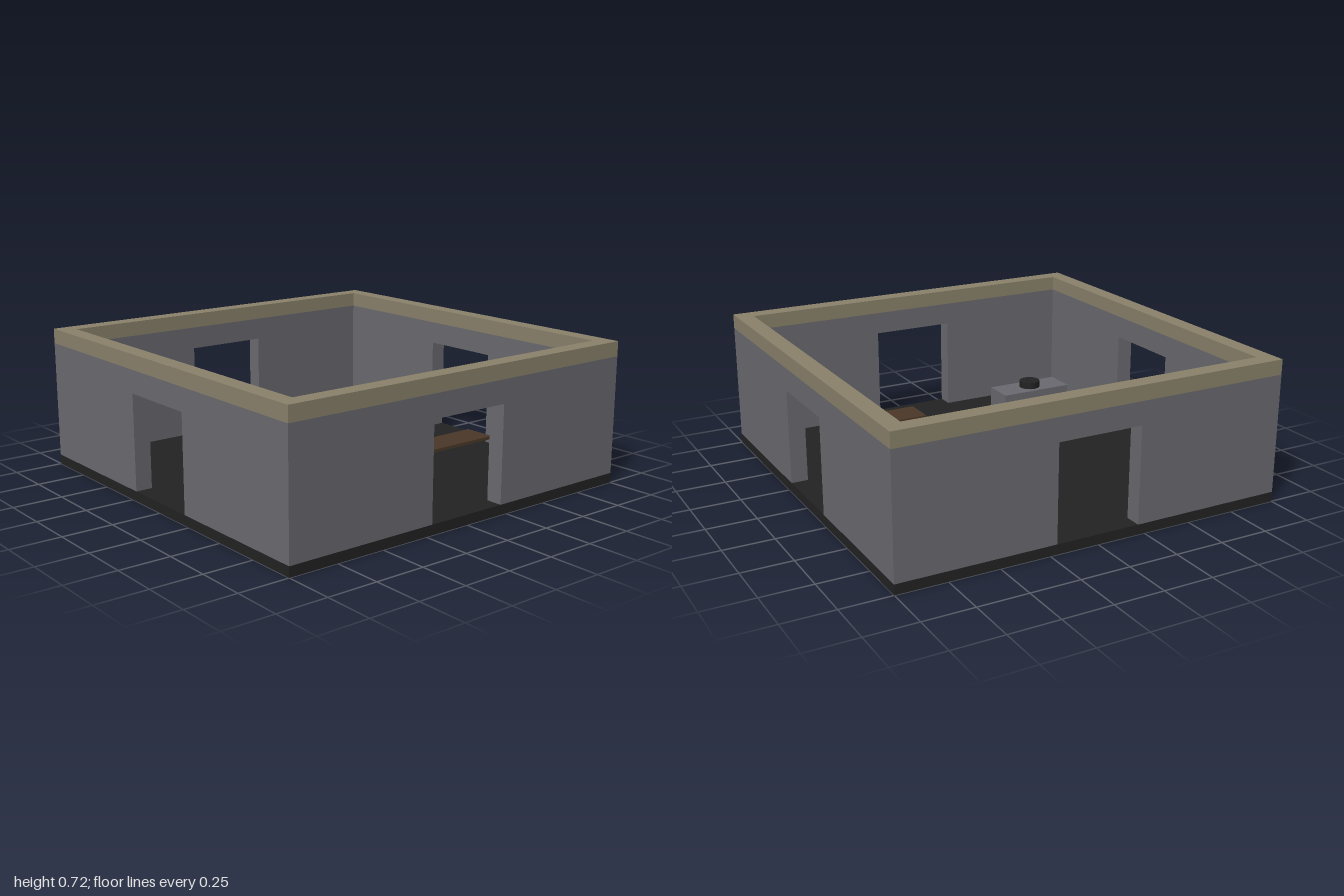
import * as THREE from 'three';

const FLOOR = 0.05, WALL_TOP = 0.645, TRIM_TOP = 0.72;
const THICK = 0.085, DOOR_HALF = 0.215, DOOR_TOP = 0.53;

const material = (name, color) => {
  const m = new THREE.MeshStandardMaterial({ color });
  m.name = name;
  return m;
};

export function createModel() {
  const stone = material('grey stone', 0x6a6a70);
  const trim = material('sandstone trim', 0x8a826b);
  const dark = material('dark floor', 0x222222);
  const wood = material('brown wood', 0x4b3828);
  const model = new THREE.Group();
  model.name = 'roofless room';

  const add = (parent, name, geometry, mat, x = 0, y = 0, z = 0) => {
    const mesh = new THREE.Mesh(geometry, mat);
    mesh.name = name;
    mesh.position.set(x, y, z);
    parent.add(mesh);
    return mesh;
  };

  // Floor slab
  add(model, 'floor', new THREE.BoxGeometry(2, FLOOR, 2), dark, 0, FLOOR / 2, 0);

  // Wall outline with a doorway cut up from the floor
  const wallGeometry = (half) => {
    const shape = new THREE.Shape([
      [-half, FLOOR], [-DOOR_HALF, FLOOR], [-DOOR_HALF, DOOR_TOP], [DOOR_HALF, DOOR_TOP],
      [DOOR_HALF, FLOOR], [half, FLOOR], [half, WALL_TOP], [-half, WALL_TOP],
    ].map(([x, y]) => new THREE.Vector2(x, y)));
    return new THREE.ExtrudeGeometry(shape, { depth: THICK, bevelEnabled: false });
  };

  // Four walls, each with its trim band; the side walls fit between the front and back
  ['front', 'left', 'back', 'right'].forEach((side, i) => {
    const half = i % 2 ? 1 - THICK : 1;
    const group = new THREE.Group();
    group.name = side + 'Wall';
    group.rotation.y = i * Math.PI / 2;
    add(group, side + 'WallPanel', wallGeometry(half), stone, 0, 0, 1 - THICK);
    add(group, side + 'Trim', new THREE.BoxGeometry(half * 2, TRIM_TOP - WALL_TOP, THICK),
      trim, 0, (WALL_TOP + TRIM_TOP) / 2, 1 - THICK / 2);
    model.add(group);
  });

  // Row of ten-sided barrels
  for (let i = 0; i < 3; i++) {
    const barrel = new THREE.CylinderGeometry(0.083, 0.083, 0.1, 10).toNonIndexed();
    barrel.computeVertexNormals();
    add(model, 'barrel' + (i + 1), barrel, wood, 0.234 + i * 0.166, FLOOR + 0.05, -0.5);
  }

  // Plank table top
  add(model, 'tableTop', new THREE.BoxGeometry(0.43, 0.016, 0.166), wood, 0.397, 0.202, 0.465);

  // Stone hearth with a dark round plate
  add(model, 'hearth', new THREE.BoxGeometry(0.4, 0.165, 0.166), stone, -0.535, FLOOR + 0.0825, 0.53);
  add(model, 'hearthPlate', new THREE.CylinderGeometry(0.057, 0.057, 0.035, 14), dark, -0.535, 0.2325, 0.53);

  return model;
}
